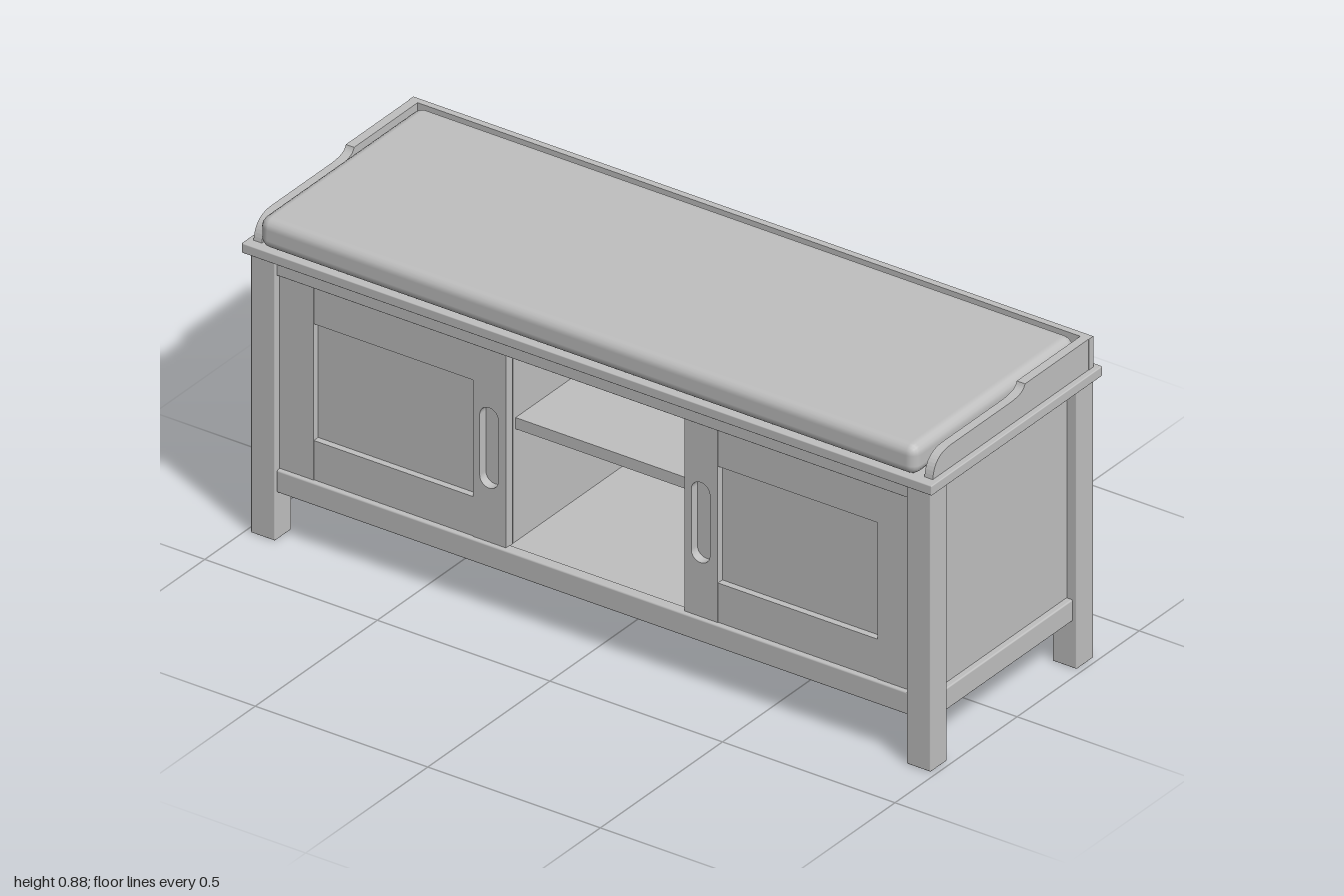
import * as THREE from 'three';
import { RoundedBoxGeometry } from 'three/addons/geometries/RoundedBoxGeometry.js';

export function createModel() {
  const bench = new THREE.Group();
  bench.name = 'storageBench';
  const grey = new THREE.MeshStandardMaterial({ color: 0xbfbfbf });
  grey.name = 'plain grey';

  const add = (name, geometry, parent = bench) => {
    const mesh = new THREE.Mesh(geometry, grey);
    mesh.name = name;
    parent.add(mesh);
    return mesh;
  };
  // Box given by its limits on each axis, with an optional eased edge
  const box = (name, [x0, x1], [y0, y1], [z0, z1], parent = bench, r = 0) => {
    const s = [x1 - x0, y1 - y0, z1 - z0];
    const mesh = add(name, r ? new RoundedBoxGeometry(...s, 2, r) : new THREE.BoxGeometry(...s), parent);
    mesh.position.set((x0 + x1) / 2, (y0 + y1) / 2, (z0 + z1) / 2);
    return mesh;
  };

  // Top board and cushion
  box('topBoard', [-1, 1], [0.766, 0.793], [-0.35, 0.35], bench, 0.003);
  box('cushion', [-0.955, 0.951], [0.794, 0.878], [-0.314, 0.348], bench, 0.028);

  // Raised back board and stepped side guards around the cushion
  box('backGuard', [-0.985, 0.985], [0.793, 0.877], [-0.333, -0.315]);
  const guard = new THREE.Shape();
  guard.moveTo(-0.316, 0.793);
  guard.lineTo(0.323, 0.793);
  guard.bezierCurveTo(0.318, 0.83, 0.3, 0.853, 0.25, 0.854);
  guard.lineTo(0.0, 0.854);
  guard.bezierCurveTo(-0.04, 0.856, -0.05, 0.864, -0.055, 0.877);
  guard.lineTo(-0.316, 0.877);
  const guardGeometry = new THREE.ExtrudeGeometry(guard, { depth: 0.024, bevelEnabled: false, curveSegments: 10 });
  guardGeometry.rotateY(-Math.PI / 2); // shape x becomes z, depth runs to -x
  for (const x of [0.984, -0.96]) add('sideGuard', guardGeometry).position.x = x;

  // Legs, side panels and side rails
  for (const s of [-1, 1]) {
    const span = (a, b) => (s > 0 ? [a, b] : [-b, -a]);
    for (const [name, z] of [['frontLeg', [0.265, 0.333]], ['backLeg', [-0.333, -0.265]]])
      box(name, span(0.915, 0.985), [0, 0.767], z, bench, 0.003);
    box('sidePanel', span(0.935, 0.957), [0.15, 0.767], [-0.268, 0.268]);
    box('sideBottomRail', span(0.935, 0.974), [0.128, 0.187], [-0.266, 0.266], bench, 0.004);
    box('divider', span(0.262, 0.282), [0.185, 0.767], [-0.3, 0.28]);
  }

  // Carcass
  box('backPanel', [-0.917, 0.917], [0.15, 0.767], [-0.318, -0.3]);
  box('floor', [-0.936, 0.936], [0.158, 0.186], [-0.302, 0.3]);
  box('shelf', [-0.264, 0.264], [0.493, 0.524], [-0.3, 0.27]);
  box('frontBottomRail', [-0.917, 0.917], [0.128, 0.19], [0.295, 0.325], bench, 0.005);
  box('frontTopRail', [-0.917, 0.917], [0.72, 0.767], [0.295, 0.325], bench, 0.003);

  // Centre foot, set at a slight angle
  const foot = box('centreFoot', [-0.014, 0.042], [0, 0.16], [-0.032, 0.042]);
  foot.rotation.y = 0.344;

  // Grip stile with a rounded slot
  const stile = new THREE.Shape();
  stile.moveTo(0.259, 0.188);
  stile.lineTo(0.354, 0.188);
  stile.lineTo(0.354, 0.72);
  stile.lineTo(0.259, 0.72);
  const slot = new THREE.Path();
  const r = 0.027;
  slot.absarc(0.305, 0.556 - r, r, 0, Math.PI, false);
  slot.absarc(0.305, 0.337 + r, r, Math.PI, Math.PI * 2, false);
  stile.holes.push(slot);
  const stileGeometry = new THREE.ExtrudeGeometry(stile, { depth: 0.027, bevelEnabled: false, curveSegments: 12 });

  // Framed doors on either side of the open bay
  for (const s of [-1, 1]) {
    const door = new THREE.Group();
    door.name = s > 0 ? 'leftDoor' : 'rightDoor';
    bench.add(door);
    const span = (a, b) => (s > 0 ? [a, b] : [-b, -a]);
    const grip = add('gripStile', stileGeometry, door);
    grip.position.set(s > 0 ? 0 : -0.613, 0, 0.287);
    box('gripRecess', span(0.27, 0.34), [0.32, 0.57], [0.281, 0.289], door);
    box('outerStile', span(0.817, 0.917), [0.188, 0.72], [0.287, 0.314], door);
    box('topDoorRail', span(0.354, 0.817), [0.615, 0.72], [0.287, 0.312], door);
    box('bottomDoorRail', span(0.354, 0.817), [0.188, 0.297], [0.287, 0.312], door);
    box('doorPanel', span(0.35, 0.82), [0.29, 0.62], [0.282, 0.294], door);
  }
  return bench;
}
